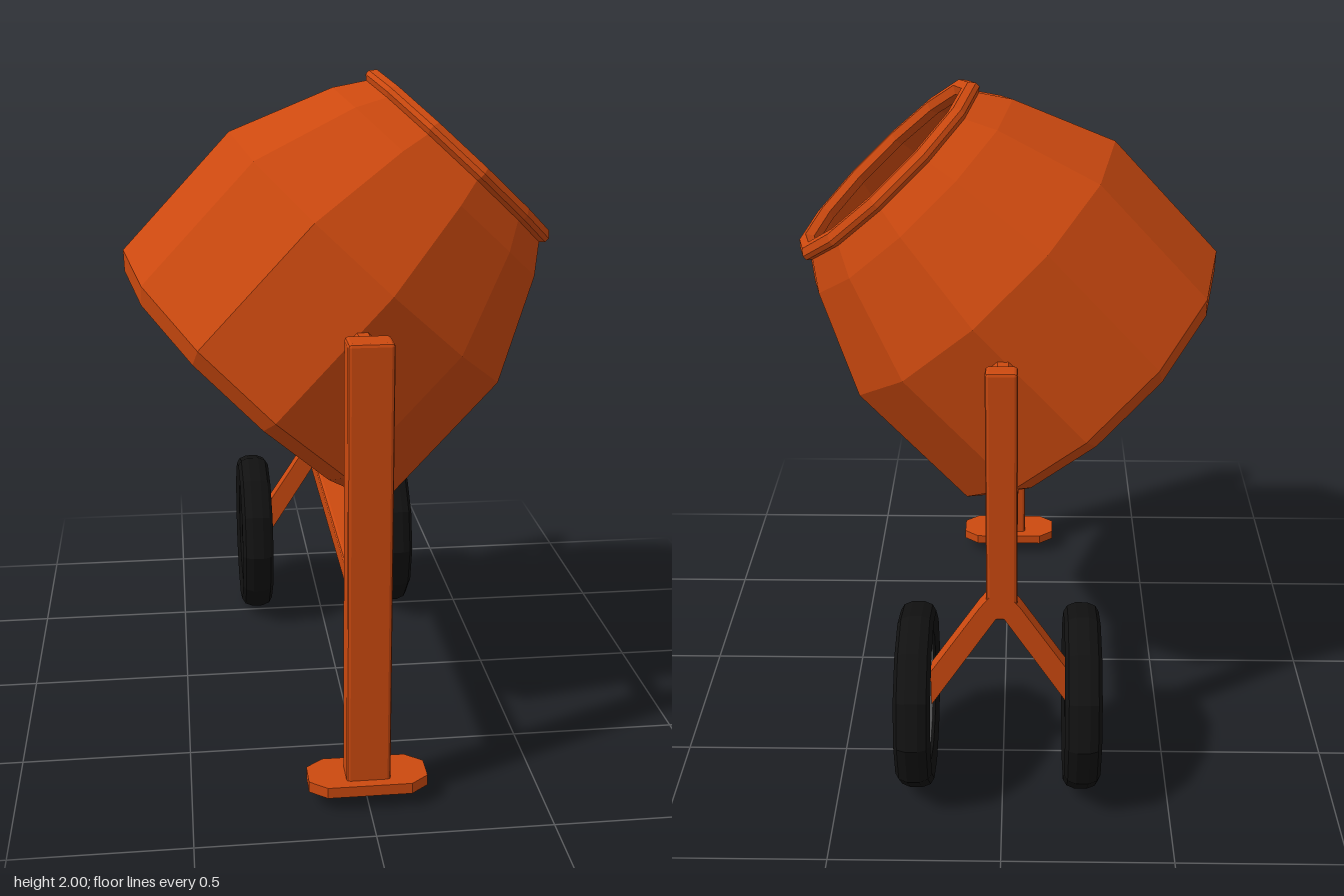
import * as THREE from 'three';
import { RoundedBoxGeometry } from 'three/addons/geometries/RoundedBoxGeometry.js';

const material = (name, color) => {
  const m = new THREE.MeshStandardMaterial({ color, flatShading: true });
  m.name = name;
  return m;
};

const points = (list) => list.map(([r, y]) => new THREE.Vector2(r, y));

export function createModel() {
  const orange = material('orange paint', 0xcc490f);
  const black = material('black rubber', 0x111111);
  const grey = material('grey wheel disc', 0x808080);
  const model = new THREE.Group();
  model.name = 'cementMixer';

  const add = (parent, name, geometry, mat, x = 0, y = 0, z = 0) => {
    const mesh = new THREE.Mesh(geometry, mat);
    mesh.name = name;
    mesh.position.set(x, y, z);
    parent.add(mesh);
    return mesh;
  };
  // Beam with small chamfers, given by its extents
  const beam = (name, x0, x1, y0, y1, z0, z1) =>
    add(model, name, new RoundedBoxGeometry(x1 - x0, y1 - y0, z1 - z0, 1, 0.01), orange,
      (x0 + x1) / 2, (y0 + y1) / 2, (z0 + z1) / 2);

  // Tilted hollow drum: outer wall up, inner wall back down
  const drum = new THREE.Group();
  drum.name = 'drum';
  drum.position.set(-0.24, 1.09, 0.085);
  drum.rotation.z = -0.749;
  model.add(drum);
  add(drum, 'drumShell', new THREE.LatheGeometry(points([
    [0, -0.046], [0.52, -0.046], [0.566, 0], [0.566, 0.477], [0.425, 0.78], [0.355, 0.875],
    [0.34, 0.875], [0.41, 0.773], [0.55, 0.472], [0.55, 0.005], [0.51, -0.03], [0, -0.03],
  ]), 12), orange);
  add(drum, 'drumRim', new THREE.LatheGeometry(points([
    [0.32, 0.885], [0.335, 0.86], [0.36, 0.86], [0.378, 0.875], [0.378, 0.89],
    [0.362, 0.908], [0.335, 0.908], [0.32, 0.885],
  ]), 12), orange);

  // Frame
  beam('frontLeg', -0.063, 0.063, 0.07, 1.36, 0.745, 0.84);
  beam('rearPost', -0.043, 0.049, 0.56, 1.36, -0.602, -0.542);
  beam('crossbar', -0.04, 0.04, 0.57, 0.64, -0.55, 0.755);

  // Drum axles, reaching just inside the drum wall
  for (const [name, z0, z1] of [['frontAxle', 0.59, 0.76], ['rearAxle', -0.56, -0.42]]) {
    const axle = add(model, name, new THREE.CylinderGeometry(0.04, 0.04, z1 - z0, 8), orange,
      0, 1.305, (z0 + z1) / 2);
    axle.rotation.set(Math.PI / 2, Math.PI / 8, 0);
  }

  // Foot plate with cut corners
  const foot = new THREE.Shape(points([
    [-0.17, -0.04], [-0.12, -0.08], [0.12, -0.08], [0.17, -0.04],
    [0.17, 0.04], [0.12, 0.08], [-0.12, 0.08], [-0.17, 0.04],
  ]));
  add(model, 'footPlate', new THREE.ExtrudeGeometry(foot, { depth: 0.032, bevelEnabled: false }),
    orange, 0, 0.05, 0.79).rotation.x = -Math.PI / 2;

  // Wheel fork
  const fork = new THREE.Shape(points([
    [0, 0.68], [0.06, 0.605], [0.21, 0.375], [0.21, 0.255], [0, 0.585],
    [-0.21, 0.255], [-0.21, 0.375], [-0.06, 0.605],
  ]));
  add(model, 'wheelFork', new THREE.ExtrudeGeometry(fork, { depth: 0.054, bevelEnabled: false }),
    orange, 0.008, 0, -0.602);

  // Wheels, spoked side facing out
  const tyre = new THREE.LatheGeometry(points([
    [0.195, -0.044], [0.252, -0.054], [0.27, -0.043], [0.28, -0.018], [0.28, 0.018],
    [0.27, 0.043], [0.252, 0.054], [0.195, 0.044], [0.195, -0.044],
  ]), 12);
  const disc = new THREE.CylinderGeometry(0.197, 0.197, 0.05, 12);
  const spokes = new THREE.RingGeometry(0.05, 0.19, 24, 1);
  const p = spokes.attributes.position;
  for (let i = 0; i < 25; i++) p.setZ(i, i % 2 ? -0.008 : 0.014); // pleated towards the hub
  spokes.rotateX(-Math.PI / 2);
  const hub = new THREE.CylinderGeometry(0.057, 0.057, 0.05, 12);

  for (const [name, x, side] of [['leftWheel', 0.26, 1], ['rightWheel', -0.237, -1]]) {
    const wheel = new THREE.Group();
    wheel.name = name;
    wheel.position.set(x, 0.285, -0.587);
    wheel.rotation.z = -side * Math.PI / 2;
    add(wheel, 'tyre', tyre, black);
    add(wheel, 'wheelDisc', disc, grey, 0, -0.01, 0);
    add(wheel, 'wheelSpokes', spokes, grey, 0, 0.024, 0);
    add(wheel, 'wheelHub', hub, black, 0, 0.018, 0);
    model.add(wheel);
  }

  return model;
}
